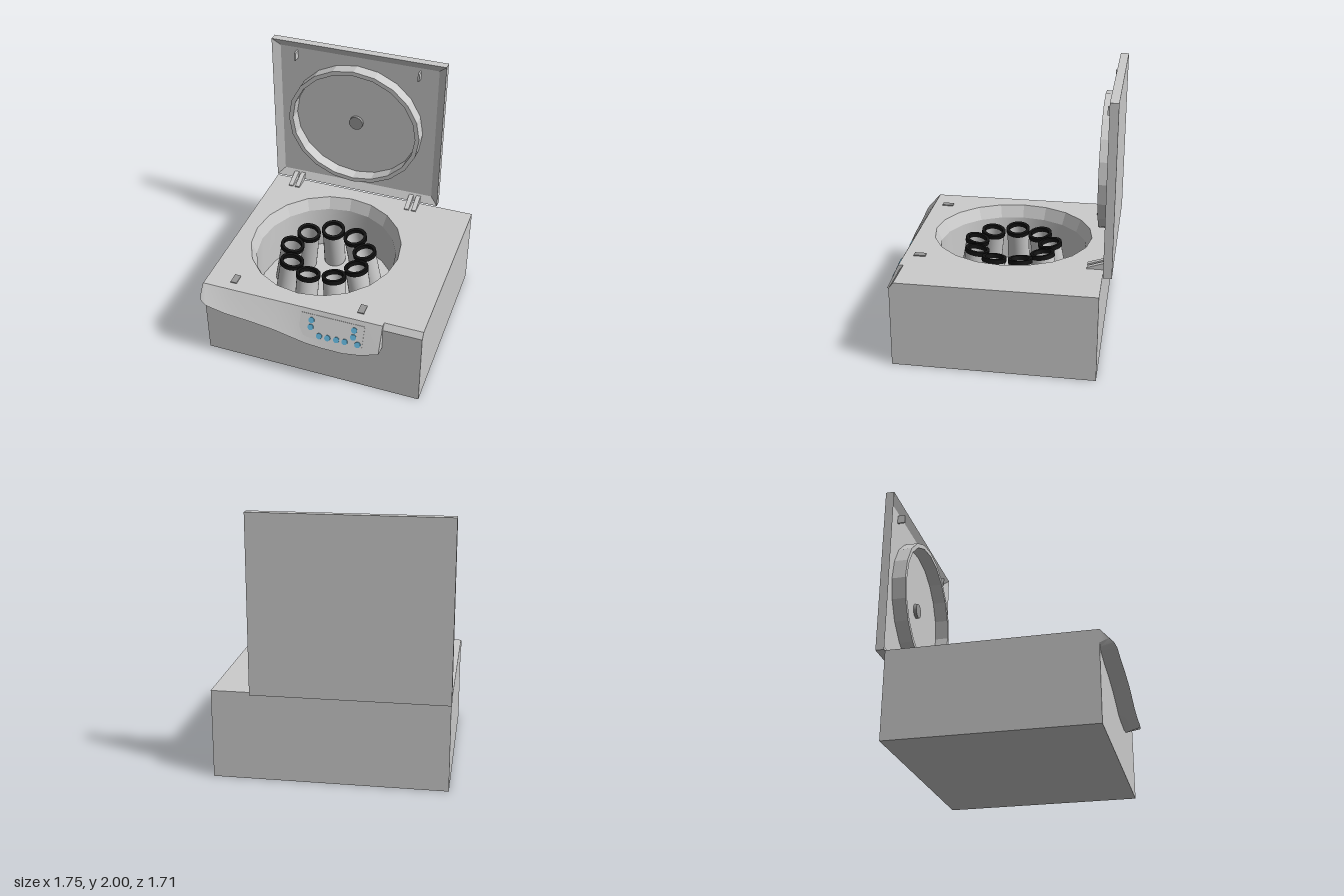
import * as THREE from 'three';
import { toCreasedNormals } from 'three/addons/utils/BufferGeometryUtils.js';

const paint = (color, extra = {}) => new THREE.MeshStandardMaterial({ color, ...extra });
const grey = paint(0xcccccc);
const thinGrey = paint(0xcccccc, { side: THREE.DoubleSide });
const flatGrey = paint(0xcccccc, { side: THREE.DoubleSide, flatShading: true });
const dark = paint(0x999999);
const black = paint(0x111111, { side: THREE.DoubleSide });
const blue = paint(0x5fb0d5);

function add(parent, name, geometry, material = grey, x = 0, y = 0, z = 0) {
  const mesh = new THREE.Mesh(geometry, material);
  mesh.name = name;
  mesh.position.set(x, y, z);
  parent.add(mesh);
  return mesh;
}

// Skin between closed rings of [x, y, z] points
function loft(rings, crease) {
  const pos = [];
  for (let i = 0; i < rings.length - 1; i++) {
    const r = rings[i], s = rings[i + 1], n = r.length;
    for (let j = 0; j < n; j++) {
      const k = (j + 1) % n;
      pos.push(...r[j], ...r[k], ...s[k], ...r[j], ...s[k], ...s[j]);
    }
  }
  const g = new THREE.BufferGeometry();
  g.setAttribute('position', new THREE.Float32BufferAttribute(pos, 3));
  g.computeVertexNormals();
  return crease ? toCreasedNormals(g, crease) : g;
}

const polygon = (pts) => new THREE.Shape(pts.map(([x, y]) => new THREE.Vector2(x, y)));
const extrude = (shape, depth, curveSegments = 10) =>
  new THREE.ExtrudeGeometry(shape, { depth, bevelEnabled: false, curveSegments });
const profile = (pts) => pts.map(([x, y]) => new THREE.Vector2(x, y));

// Side profile of [z, y] points swept along x
function sideExtrude(pts, x, width) {
  return extrude(polygon(pts.map(([z, y]) => [-z, y])), width).rotateY(Math.PI / 2).translate(x, 0, 0);
}

function buildBody(root) {
  const body = new THREE.Group();
  body.name = 'body';
  root.add(body);

  // Casing with the bowl opening and a step at the front for the chamfer
  const plan = polygon([[-0.87, -0.735], [0.57, -0.735], [0.57, -0.7], [0.87, -0.7], [0.87, 0.785], [-0.87, 0.785]]);
  const opening = new THREE.Path();
  opening.absellipse(-0.145, 0.025, 0.6, 0.63, 0, Math.PI * 2, true);
  plan.holes.push(opening);
  add(body, 'casing', extrude(plan, 0.655).rotateX(-Math.PI / 2).translate(0, 0.02, 0));
  add(body, 'chamferedEdge', sideExtrude([[0.7, 0.02], [0.735, 0.02], [0.735, 0.63], [0.7, 0.675]], 0.57, 0.3));
  add(body, 'basePlate', new THREE.BoxGeometry(1.74, 0.02, 1.52), grey, 0, 0.01, -0.025);

  // Bowl: faceted flared rim, smooth wall and flat floor
  const rim = new THREE.LatheGeometry(profile([[0.56, 0.575], [0.6, 0.675]]), 20);
  const wall = new THREE.LatheGeometry(profile([[0, 0.2], [0.56, 0.2], [0.56, 0.575]]), 20);
  for (const [name, g, m] of [['bowlRim', rim, flatGrey], ['bowlWall', toCreasedNormals(wall, 0.6), thinGrey]]) {
    add(body, name, g.scale(1, 1, 1.05), m, -0.145, 0, -0.025);
  }

  // Latch slots
  for (const x of [-0.65, 0.375]) {
    add(body, 'latchSlot', new THREE.BoxGeometry(0.05, 0.012, 0.09), dark, x, 0.677, 0.618);
  }
}

// Nine tubes leaning in at the top
function buildTubes(root) {
  const rack = new THREE.Group();
  rack.name = 'tubeRack';
  rack.position.set(-0.135, 0.585, -0.02);
  root.add(rack);
  const tubeShape = toCreasedNormals(new THREE.LatheGeometry(
    profile([[0, -0.37], [0.09, -0.37], [0.09, -0.02], [0.074, -0.02], [0.074, -0.355], [0, -0.355]]), 24), 0.6);
  const collarShape = toCreasedNormals(new THREE.LatheGeometry(
    profile([[0.072, -0.025], [0.097, -0.025], [0.097, 0.01], [0.072, 0.01], [0.072, -0.025]]), 24), 0.6);
  for (let i = 0; i < 9; i++) {
    const a = Math.PI + (i * Math.PI * 2) / 9;
    const tube = new THREE.Group();
    tube.name = 'tube';
    tube.position.set(0.3 * Math.cos(a), 0, -0.3 * Math.sin(a));
    tube.rotation.set(0, a, 0.18);
    add(tube, 'tubeWall', tubeShape, thinGrey);
    add(tube, 'tubeCollar', collarShape, black);
    rack.add(tube);
  }
}

function buildControls(root) {
  const controls = new THREE.Group();
  controls.name = 'controlFascia';
  root.add(controls);

  // Each section: x, height of the front lip, height of the underside, depth of the lip
  const sections = [
    [-0.872, 0.6, 0.575, 0.8], [-0.855, 0.575, 0.55, 0.83], [-0.81, 0.552, 0.527, 0.845],
    [-0.65, 0.522, 0.502, 0.85], [-0.45, 0.508, 0.488, 0.853], [-0.25, 0.485, 0.455, 0.855],
    [-0.1, 0.45, 0.415, 0.855], [0, 0.428, 0.385, 0.855], [0.13, 0.415, 0.375, 0.855],
    [0.3, 0.415, 0.375, 0.855], [0.42, 0.432, 0.397, 0.85], [0.57, 0.472, 0.455, 0.835],
  ];
  const rings = sections.map(([x, lip, under, z]) =>
    [[x, 0.675, 0.737], [x, lip, z], [x, under, 0.737], [x, under, 0.73], [x, 0.675, 0.73]]);
  const cap = (x) => Array(5).fill([x, 0.6, 0.75]);
  add(controls, 'fascia', loft([cap(-0.872), ...rings, cap(0.57)], 0.5));

  // Panel and buttons lie on the sloping face
  const slope = 0.45;
  const faceZ = (y) => 0.738 + (0.675 - y) * slope;
  const lean = -Math.atan(slope);
  const panel = add(controls, 'panel', new THREE.BoxGeometry(0.5, 0.185, 0.008), grey, 0.19, 0.557, faceZ(0.557));
  panel.rotation.x = lean;
  const spots = [[0.03, 0.6], [0.03, 0.55], [0.105, 0.5], [0.17, 0.5], [0.24, 0.503], [0.305, 0.503],
    [0.365, 0.6], [0.365, 0.55], [0.405, 0.505]];
  const buttonShape = new THREE.CylinderGeometry(0.023, 0.023, 0.025, 16).rotateX(Math.PI / 2);
  for (const [x, y] of spots) {
    add(controls, 'button', buttonShape, blue, x, y, faceZ(y)).rotation.x = lean;
  }
}

function buildLid(root) {
  const lid = new THREE.Group();
  lid.name = 'lid';
  root.add(lid);

  // Upright panel, its inner face sunk behind a bevelled border
  const rect = (inset, z) => [[-0.875 + inset, 0.68 + inset, z], [0.567 - inset, 0.68 + inset, z],
    [0.567 - inset, 2 - inset, z], [-0.875 + inset, 2 - inset, z]];
  const centre = (z) => Array(4).fill([-0.154, 1.34, z]);
  add(lid, 'lidPanel', loft([centre(-0.855), rect(0, -0.855), rect(0, -0.79), rect(0.062, -0.825), centre(-0.825)]));

  // Sealing ring and centre boss
  const ring = new THREE.Shape().absellipse(0, 0, 0.56, 0.525, 0, Math.PI * 2);
  const inner = new THREE.Path();
  inner.absellipse(0, 0, 0.525, 0.49, 0, Math.PI * 2, true);
  ring.holes.push(inner);
  add(lid, 'sealingRing', extrude(ring, 0.105), grey, -0.16, 1.338, -0.825);
  add(lid, 'centreBoss', new THREE.CylinderGeometry(0.058, 0.058, 0.03, 24).rotateX(Math.PI / 2), dark, -0.163, 1.34, -0.815);

  // Latch hooks
  for (const x of [-0.67, 0.355]) {
    add(lid, 'latchHook', new THREE.BoxGeometry(0.013, 0.065, 0.06), grey, x, 1.88, -0.797);
  }

  // Wedge-shaped hinge prongs in pairs
  for (const x of [-0.72, -0.662, 0.318, 0.38]) {
    add(lid, 'hingeProng', sideExtrude([[-0.66, 0.67], [-0.66, 0.685], [-0.785, 0.727], [-0.82, 0.727], [-0.82, 0.69], [-0.78, 0.67]], x, 0.038));
  }
}

export function createModel() {
  const root = new THREE.Group();
  root.name = 'benchCentrifuge';
  buildBody(root);
  buildTubes(root);
  buildControls(root);
  buildLid(root);
  return root;
}
